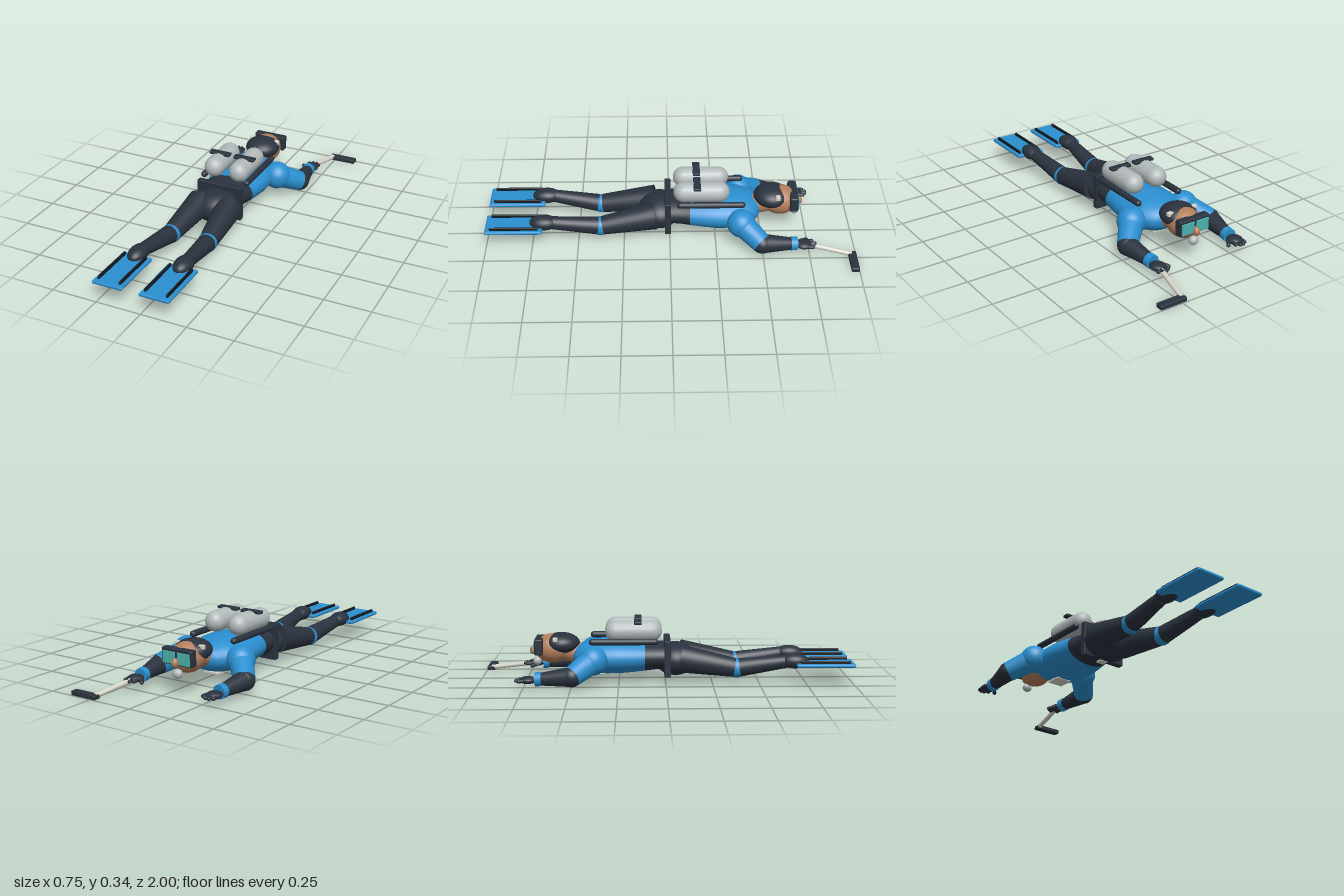
import * as THREE from 'three';
import { RoundedBoxGeometry } from 'three/addons/geometries/RoundedBoxGeometry.js';

const mat = (name, color) => {
  const m = new THREE.MeshStandardMaterial({ color });
  m.name = name;
  return m;
};

export function createModel() {
  const blue = mat('wetsuit blue', 0x2a8fd0);
  const dark = mat('neoprene dark', 0x2a323e);
  const black = mat('rail black', 0x14181e);
  const steel = mat('tank grey', 0xb3babb);
  const pale = mat('pale metal', 0xd6d4c8);
  const skin = mat('skin', 0xb47f5c);
  const teal = mat('lens teal', 0x4cb3ae);

  const root = new THREE.Group();
  root.name = 'diver';
  const body = new THREE.Group();
  body.name = 'body';
  body.position.x = -0.055;
  root.add(body);

  const V = (p) => new THREE.Vector3(...p);
  const add = (name, geo, material, pos = [0, 0, 0], parent = body) => {
    const m = new THREE.Mesh(geo, material);
    m.name = name;
    m.position.set(...pos);
    parent.add(m);
    return m;
  };
  const ball = (name, material, pos, rx, ry = rx, rz = rx) =>
    add(name, new THREE.SphereGeometry(1, 32, 20).scale(rx, ry, rz), material, pos);
  const box = (name, material, pos, w, h, d, r = 0.004) =>
    add(name, new RoundedBoxGeometry(w, h, d, 2, r), material, pos);
  // Tapered limb or round-ended rod running from a to b
  const between = (name, geo, material, a, b, parent = body) => {
    const m = add(name, geo, material, V(a).lerp(V(b), 0.5).toArray(), parent);
    m.quaternion.setFromUnitVectors(new THREE.Vector3(0, 1, 0), V(b).sub(V(a)).normalize());
    return m;
  };
  const limb = (name, material, a, b, ra, rb, parent) =>
    between(name, new THREE.CylinderGeometry(rb, ra, V(a).distanceTo(V(b)), 28), material, a, b, parent);
  const rod = (name, material, a, b, r) =>
    between(name, new THREE.CapsuleGeometry(r, V(a).distanceTo(V(b)), 6, 16), material, a, b);
  // Flattened lathe along z, profile given as [z, radius]
  const trunk = (name, material, profile) => {
    const pts = profile.map(([z, r]) => new THREE.Vector2(r, z));
    const g = new THREE.LatheGeometry(pts, 40).rotateX(Math.PI / 2).scale(1, 0.58, 1);
    add(name, g, material, [0, 0.138, 0]);
  };

  // Torso, waist and pelvis
  trunk('torso', blue, [[-0.5, 0], [-0.495, 0.05], [-0.475, 0.092], [-0.44, 0.128], [-0.39, 0.152],
    [-0.32, 0.165], [-0.25, 0.165], [-0.18, 0.155], [-0.11, 0.142]]);
  trunk('waist', dark, [[-0.11, 0.142], [-0.05, 0.13], [0.02, 0.126]]);
  ball('pelvis', dark, [0, 0.12, 0.055], 0.137, 0.09, 0.115);
  box('weightBelt', dark, [0, 0.135, 0.01], 0.262, 0.195, 0.034);
  box('beltBuckle', pale, [0, 0.034, 0.01], 0.048, 0.012, 0.04, 0.003);
  box('chestPlate', pale, [0, 0.046, -0.37], 0.09, 0.014, 0.09, 0.003);

  // Head, hood and mask
  limb('neck', skin, [0, 0.15, -0.46], [0, 0.17, -0.56], 0.055, 0.055);
  ball('head', skin, [0, 0.178, -0.605], 0.086, 0.08, 0.097);
  ball('hood', dark, [0, 0.205, -0.56], 0.097, 0.058, 0.1);
  box('maskFrame', dark, [0, 0.195, -0.677], 0.186, 0.086, 0.046, 0.008);
  ball('nose', skin, [0, 0.168, -0.71], 0.018, 0.024, 0.02);
  ball('regulator', steel, [0, 0.11, -0.69], 0.027, 0.025, 0.024);

  for (const s of [-1, 1]) {
    const side = s < 0 ? 'right' : 'left';
    const P = (x, y, z) => [s * x, y, z];

    box(side + 'Lens', teal, P(0.045, 0.19, -0.7), 0.078, 0.064, 0.009, 0.003);
    box(side + 'MaskClip', pale, P(0.074, 0.235, -0.588), 0.034, 0.022, 0.025);

    // Air tank with its band, and the harness bar beside it
    rod(side + 'Tank', steel, P(0.074, 0.281, -0.267), P(0.074, 0.281, -0.075), 0.056);
    box(side + 'TankBand', dark, P(0.074, 0.33, -0.147), 0.122, 0.016, 0.04, 0.005);
    rod(side + 'HarnessBar', dark, P(0.129, 0.23, -0.39), P(0.129, 0.23, -0.055), 0.017);

    // Arm
    const shoulder = P(0.168, 0.137, -0.385);
    const elbow = P(0.266, 0.072, -0.492);
    const wrist = P(0.247, 0.056, -0.665);
    ball(side + 'Shoulder', blue, shoulder, 0.077);
    limb(side + 'UpperArm', blue, shoulder, elbow, 0.066, 0.055);
    ball(side + 'Elbow', dark, elbow, 0.054);
    limb(side + 'Forearm', dark, elbow, wrist, 0.053, 0.032);
    limb(side + 'WristCuff', blue, P(0.249, 0.058, -0.648), P(0.246, 0.056, -0.682), 0.037, 0.037);

    // Glove
    ball(side + 'Palm', dark, P(0.247, 0.053, -0.72), 0.042, 0.02, 0.045);
    for (let i = 0; i < 4; i++) {
      const x = 0.219 + i * 0.0185;
      const tip = i === 0 || i === 3 ? -0.767 : -0.78;
      rod(side + 'Finger' + (i + 1), dark, P(x, 0.053, -0.735), P(x * 1.04 - 0.01, 0.05, tip), 0.0095);
    }
    rod(side + 'Thumb', dark, P(0.215, 0.05, -0.71), P(0.193, 0.042, -0.738), 0.011);

    // Leg with a blue knee showing between thigh and calf
    const knee = P(0.107, 0.085, 0.378);
    const ankle = P(0.128, 0.123, 0.64);
    limb(side + 'Thigh', dark, P(0.084, 0.132, 0.08), knee, 0.075, 0.05);
    ball(side + 'Knee', blue, knee, 0.052);
    limb(side + 'Calf', dark, knee, ankle, 0.05, 0.035);
    ball(side + 'Foot', dark, P(0.129, 0.126, 0.685), 0.049, 0.04, 0.077);

    // Fin with two raised rails
    box(side + 'Fin', blue, P(0.13, 0.111, 0.845), 0.166, 0.019, 0.31, 0.008);
    for (const d of [-0.06, 0.06])
      box(side + 'FinRail', black, P(0.13 + d, 0.125, 0.843), 0.011, 0.022, 0.262);
  }

  // Hand-held pole with a crosswise grip
  limb('pole', pale, [0.19, 0.052, -0.73], [0.237, 0.017, -0.975], 0.013, 0.013, root);
  const grip = box('poleGrip', dark, [0.299, 0.0135, -0.978], 0.156, 0.025, 0.043, 0.006);
  root.add(grip);

  return root;
}
